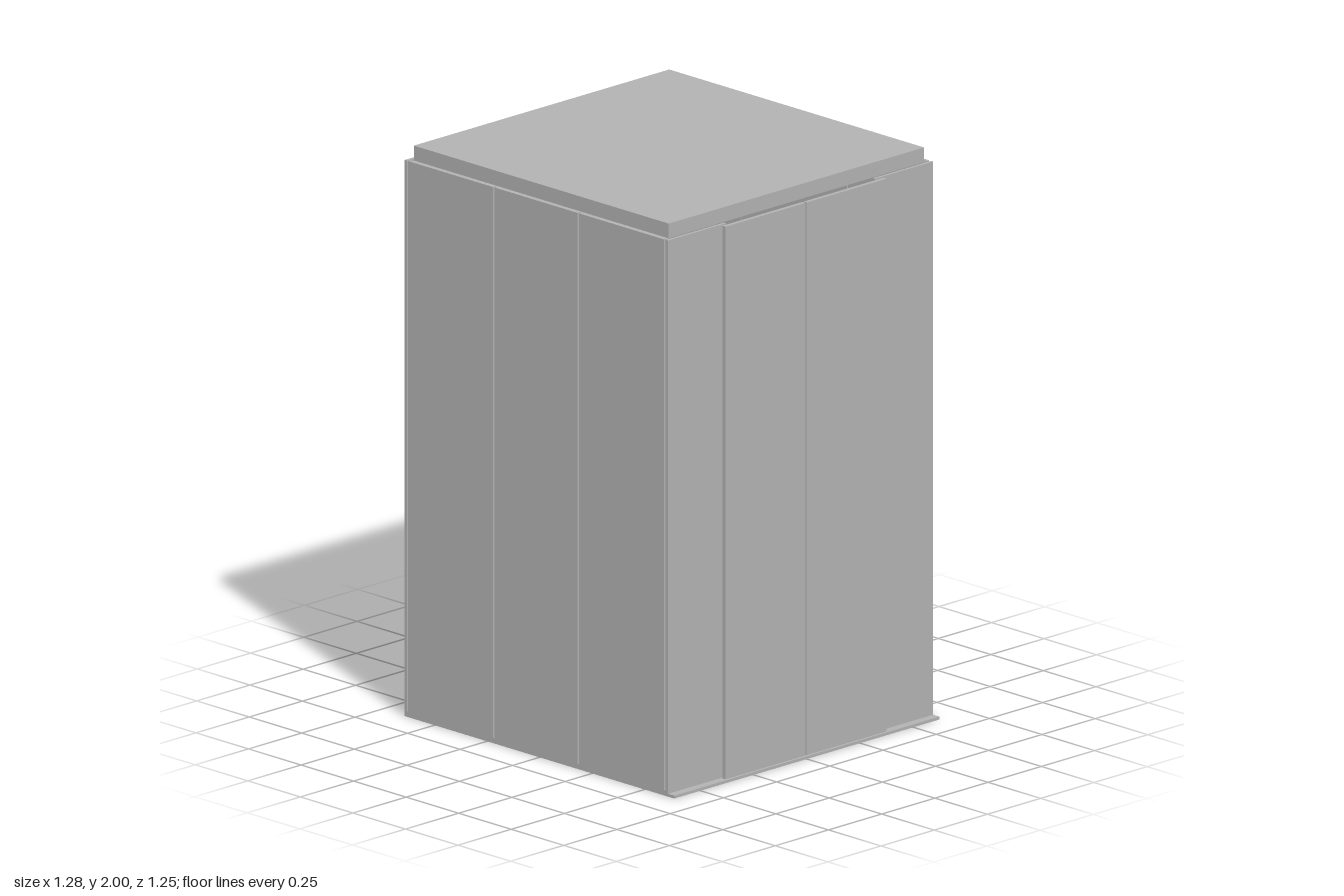
import * as THREE from 'three';

export function createModel() {
  const model = new THREE.Group();
  const grey = new THREE.MeshStandardMaterial({ color: 0xb2b2b2 });
  grey.name = 'panelGrey';

  // Box given by its lower and upper limits on each axis
  function slab(name, [x0, x1], [y0, y1], [z0, z1]) {
    const mesh = new THREE.Mesh(new THREE.BoxGeometry(x1 - x0, y1 - y0, z1 - z0), grey);
    mesh.position.set((x0 + x1) / 2, (y0 + y1) / 2, (z0 + z1) / 2);
    mesh.name = name;
    model.add(mesh);
  }
  // Neighbouring spans between the given edges, with a gap at each inner seam
  function spans(edges, gap) {
    const last = edges.length - 2;
    return edges.slice(0, -1).map((a, i) => [
      a + (i > 0 ? gap / 2 : 0),
      edges[i + 1] - (i < last ? gap / 2 : 0),
    ]);
  }

  const wallY = [0.02, 1.95];
  const linerY = [0.02, 1.948];

  // Floor: thin sill plate, with a raised platform inside the doors
  slab('sillPlate', [-0.643, 0.641], [0, 0.01], [-0.623, 0.623]);
  slab('floorPlatform', [-0.643, 0.611], [0.01, 0.02], [-0.623, 0.623]);

  // Roof
  slab('roof', [-0.622, 0.591], [1.948, 2], [-0.6, 0.6]);

  // Front and back walls: three outer panels over an inner lining
  for (const s of [1, -1]) {
    const side = s > 0 ? 'front' : 'back';
    const depth = (a, b) => (s > 0 ? [a, b] : [-b, -a]);
    for (const x of spans([-0.626, -0.218, 0.184, 0.591], 0.007))
      slab(side + 'Panel', x, wallY, depth(0.611, 0.623));
    for (const x of spans([-0.62, -0.275, 0.23, 0.591], 0.004))
      slab(side + 'Lining', x, linerY, depth(0.596, 0.608));
    // Latches set into the seams
    for (const x of [-0.218, 0.184])
      slab(side + 'Latch', [x - 0.0035, x + 0.0035], [0.79, 0.87], depth(0.609, 0.616));
  }

  // Left wall, running the full depth
  for (const z of spans([-0.623, -0.256, 0.248, 0.623], 0.005))
    slab('leftPanel', [-0.643, -0.631], wallY, z);
  for (const z of spans([-0.596, -0.26, 0.244, 0.596], 0.004))
    slab('leftLining', [-0.628, -0.616], linerY, z);

  // Right side: door jambs, then a pair of sliding doors outside them
  for (const s of [1, -1]) {
    slab('doorJamb', [0.6, 0.611], wallY, s > 0 ? [0.35, 0.623] : [-0.623, -0.35]);
    slab('door', [0.622, 0.637], [0.012, 1.95], s > 0 ? [0.003, 0.378] : [-0.378, -0.003]);
  }

  return model;
}
